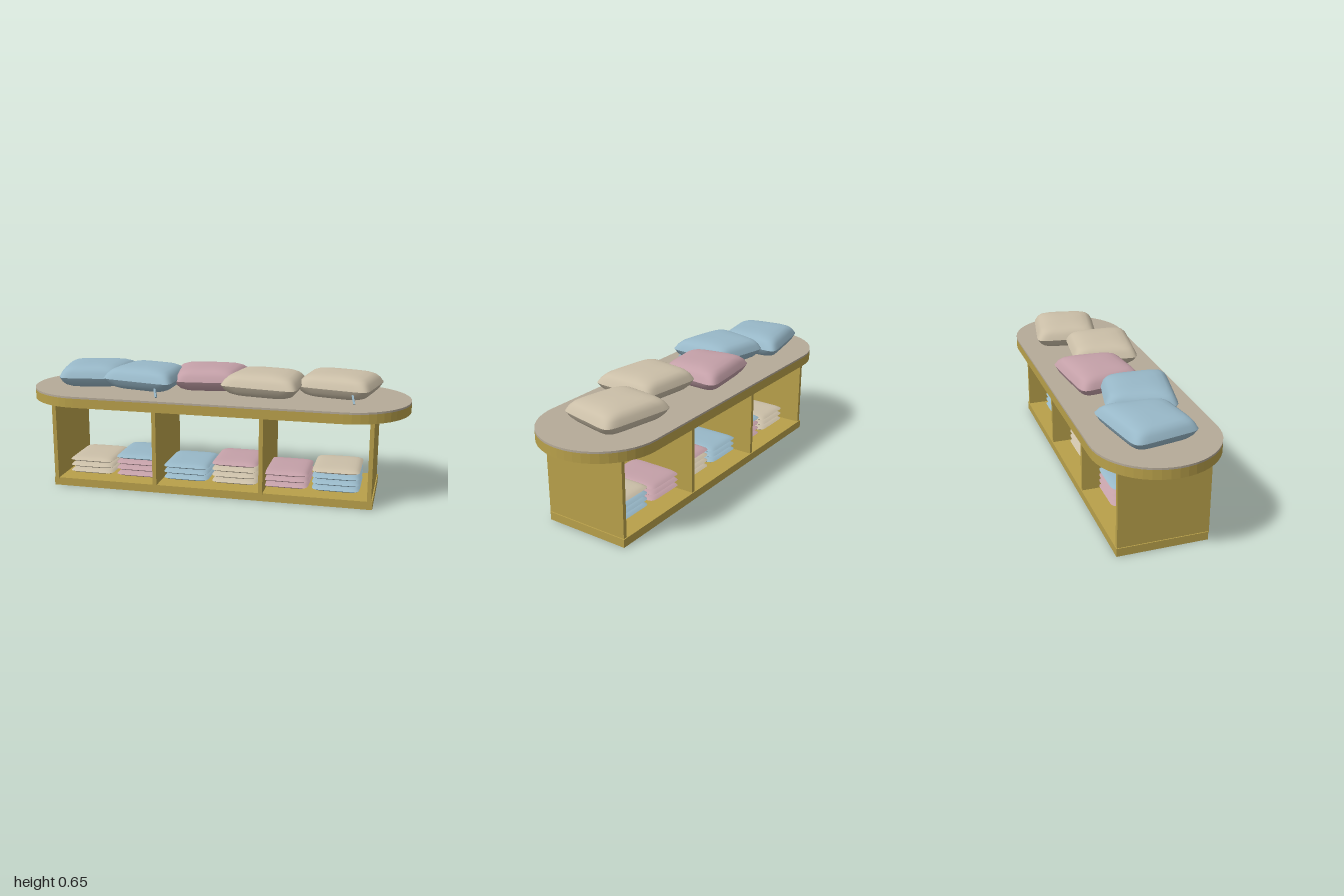
import * as THREE from 'three';

export function createModel() {
  const root = new THREE.Group();
  root.name = 'cushionBench';
  const mat = (name, color) => {
    const m = new THREE.MeshStandardMaterial({ color });
    m.name = name;
    return m;
  };
  const wood = mat('wood', 0xb8a04a);
  const felt = mat('topCover', 0xb5aa98);
  const beige = mat('beigeFabric', 0xcbbfa8);
  const blue = mat('blueFabric', 0x98b8c8);
  const pink = mat('pinkFabric', 0xc4a0a8);

  const add = (parent, geo, material, name) => {
    const mesh = new THREE.Mesh(geo, material);
    mesh.name = name;
    parent.add(mesh);
    return mesh;
  };
  const box = (name, x0, x1, y0, y1, z0, z1) =>
    add(root, new THREE.BoxGeometry(x1 - x0, y1 - y0, z1 - z0), wood, name)
      .position.set((x0 + x1) / 2, (y0 + y1) / 2, (z0 + z1) / 2);

  // Bench top: wooden slab with a thin cover
  const R = 0.312;
  const outline = new THREE.Shape();
  outline.absarc(1 - R, 0, R, -Math.PI / 2, Math.PI / 2, false);
  outline.absarc(-1 + R, 0, R, Math.PI / 2, Math.PI * 1.5, false);
  outline.closePath();
  const slab = (name, y0, y1, material) => {
    const geo = new THREE.ExtrudeGeometry(outline, { depth: y1 - y0, bevelEnabled: false, curveSegments: 12 });
    geo.rotateX(-Math.PI / 2);
    add(root, geo, material, name).position.y = y0;
  };
  slab('benchTop', 0.455, 0.503, wood);
  slab('topCover', 0.503, 0.513, felt);

  // Base board and upright dividers
  box('baseBoard', -0.845, 0.84, 0, 0.042, -0.233, 0.223);
  for (const x of [-0.84, -0.295, 0.266, 0.813]) box('divider', x, x + 0.021, 0.037, 0.455, -0.228, 0.228);

  // Puffed cushion spanning four corners, with a sharp seam at mid height.
  // Corners [x, z]: back left, back right, front right, front left.
  const half = [[1, 0, 9], [0.93, 0.4, 8], [0.85, 0.67, 6.5], [0.74, 0.84, 5], [0.55, 0.96, 4], [0.28, 1, 3], [0, 1, 2]];
  const cushionGeometry = (corners, y, h) => {
    const rows = [...half.map(([s, t, n]) => [s, -t, n]).reverse(), ...half];
    const N = 48, pos = [], idx = [];
    const spow = (v, p) => Math.sign(v) * Math.abs(v) ** p;
    for (const [s, t, n] of rows) {
      for (let j = 0; j < N; j++) {
        const a = (j / N) * Math.PI * 2;
        const u = 0.5 + 0.51 * s * spow(Math.cos(a), 2 / n);
        const v = 0.5 + 0.51 * s * spow(Math.sin(a), 2 / n);
        const [x, z] = [0, 1].map((k) =>
          (1 - v) * ((1 - u) * corners[0][k] + u * corners[1][k]) +
          v * ((1 - u) * corners[3][k] + u * corners[2][k]));
        pos.push(x, y + t * h, z);
      }
    }
    for (let i = 0; i < rows.length - 1; i++) {
      if (i === half.length - 1) continue; // seam stays creased
      for (let j = 0; j < N; j++) {
        const k = (j + 1) % N;
        const a = i * N + j, b = i * N + k, c = a + N, d = b + N;
        if (i < rows.length - 2) idx.push(a, c, b);
        if (i > 0) idx.push(b, c, d);
        if (i === rows.length - 2) idx.push(a, c, b);
      }
    }
    const geo = new THREE.BufferGeometry();
    geo.setAttribute('position', new THREE.Float32BufferAttribute(pos, 3));
    geo.setIndex(idx);
    geo.computeVertexNormals();
    return geo;
  };

  // Large cushions lying on the bench
  const large = [
    [blue, 0.575, [[-0.885, -0.16], [-0.485, -0.235], [-0.51, 0.125], [-0.82, 0.17]]],
    [blue, 0.584, [[-0.49, -0.165], [-0.185, -0.095], [-0.195, 0.247], [-0.585, 0.165]]],
    [pink, 0.575, [[-0.27, -0.21], [0.14, -0.252], [0.11, 0.085], [-0.2, 0.12]]],
    [beige, 0.584, [[0.115, -0.135], [0.46, -0.09], [0.445, 0.255], [0.05, 0.192]]],
    [beige, 0.575, [[0.47, -0.245], [0.855, -0.168], [0.785, 0.157], [0.425, 0.08]]],
  ];
  for (const [m, y, corners] of large) add(root, cushionGeometry(corners, y, 0.062), m, 'largeCushion');

  // Small fabric tags hanging from two seams
  for (const [x, z] of [[-0.27, 0.23], [0.72, 0.142]]) {
    const tag = add(root, new THREE.BoxGeometry(0.01, 0.045, 0.016), blue, 'tag');
    tag.position.set(x, 0.536, z);
    tag.rotation.set(-0.45, 0, 0.25);
  }

  // Stacks of small cushions: left edge, then colours from bottom to top
  const stacks = [
    [-0.785, [beige, beige, beige]],
    [-0.523, [pink, pink, pink, blue]],
    [-0.26, [blue, blue, blue]],
    [0.002, [beige, beige, beige, pink]],
    [0.265, [pink, pink, pink]],
    [0.527, [blue, blue, blue, beige]],
  ];
  for (const [x, colours] of stacks) {
    const stack = new THREE.Group();
    stack.name = 'cushionStack';
    root.add(stack);
    const x1 = x + 0.238;
    const corners = [[x, -0.14], [x1, -0.14], [x1, 0.15], [x, 0.15]];
    colours.forEach((m, i) =>
      add(stack, cushionGeometry(corners, 0.06 + i * 0.0315, 0.0165), m, 'smallCushion'));
  }
  return root;
}
